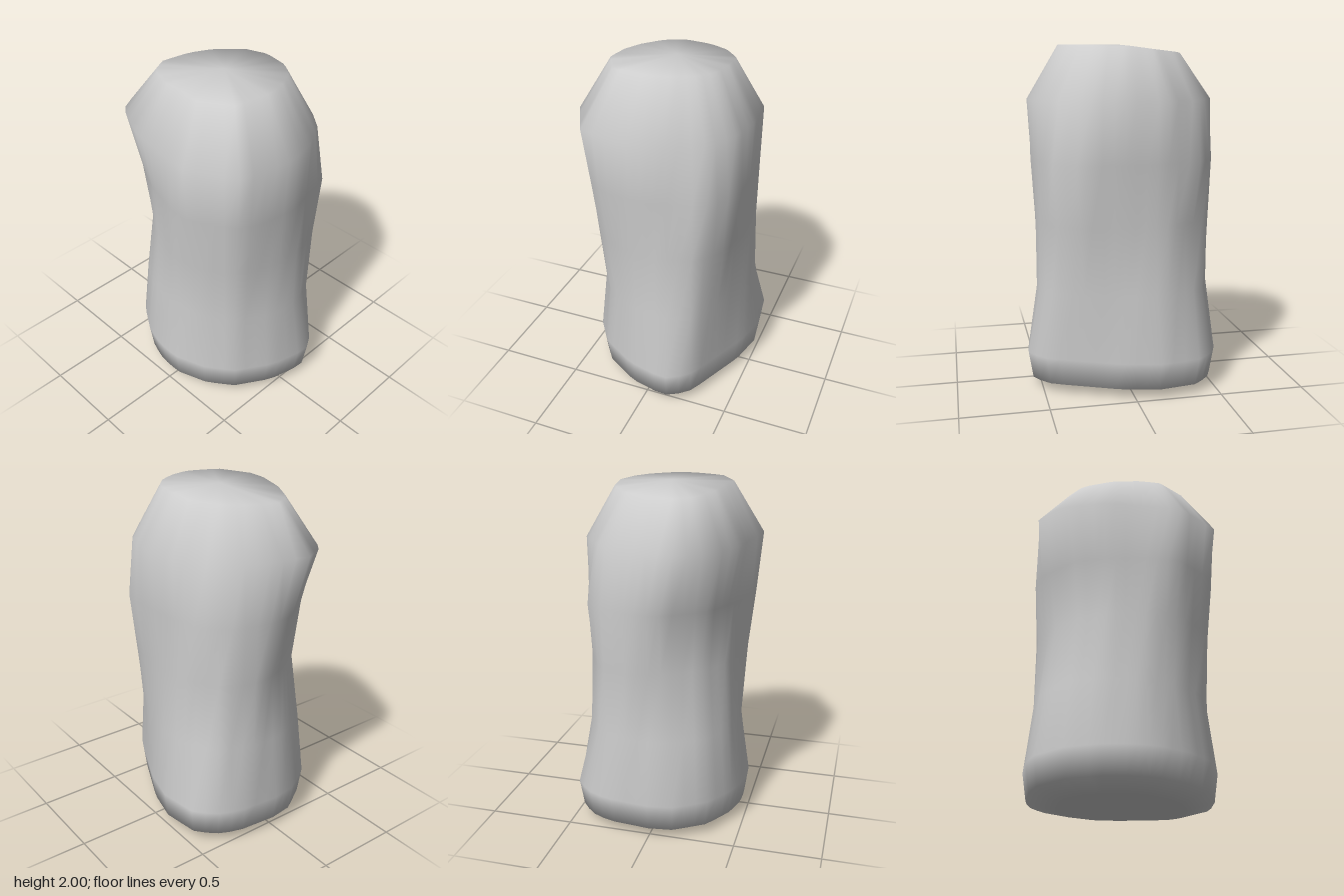
import * as THREE from 'three';

const SIDES = 48;

// Distance from the axis to a closed outline [x, z, x, z, ...] along a given angle
function reach(outline, angle) {
  const dx = Math.cos(angle), dz = Math.sin(angle), n = outline.length;
  let best = 0;
  for (let i = 0; i < n; i += 2) {
    const ax = outline[i], az = outline[i + 1];
    const ex = outline[(i + 2) % n] - ax, ez = outline[(i + 3) % n] - az;
    const det = ex * dz - ez * dx;
    if (Math.abs(det) < 1e-9) continue;
    const along = (az * dx - ax * dz) / det;
    const r = (ax + along * ex) * dx + (az + along * ez) * dz;
    if (along >= -1e-6 && along <= 1 + 1e-6) best = Math.max(best, r);
  }
  return best;
}

// One ring of points; height is a rule of x and z, scale shrinks the outline
function ring(outline, height, scale = 1) {
  return Array.from({ length: SIDES }, (_, i) => {
    const a = (i / SIDES) * Math.PI * 2;
    const r = reach(outline, a) * scale;
    const x = r * Math.cos(a), z = r * Math.sin(a);
    return [x, height(x, z), z];
  });
}

// Skin stacked rings (bottom to top) and close both ends with a fan
function loft(rings, bottomY, topY) {
  const position = [], index = [];
  rings.forEach(points => points.forEach(p => position.push(...p)));
  const bottom = rings.length * SIDES, top = bottom + 1;
  position.push(0, bottomY, 0, 0, topY, 0);
  for (let i = 0; i < SIDES; i++) {
    const j = (i + 1) % SIDES;
    for (let k = 0; k < rings.length - 1; k++) {
      const a = k * SIDES + i, b = k * SIDES + j;
      index.push(a, a + SIDES, b, b, a + SIDES, b + SIDES);
    }
    const last = (rings.length - 1) * SIDES;
    index.push(bottom, i, j, top, last + j, last + i);
  }
  const geometry = new THREE.BufferGeometry();
  geometry.setAttribute('position', new THREE.Float32BufferAttribute(position, 3));
  geometry.setIndex(index);
  geometry.computeVertexNormals();
  return geometry;
}

export function createModel() {
  // Outlines of the weathered block, twisting slightly from foot to shoulder
  const foot = [0.58, -0.1, 0.53, 0.1, 0.4, 0.31, 0.25, 0.42, 0.05, 0.49, -0.1, 0.485,
    -0.24, 0.445, -0.42, 0.335, -0.54, 0.15, -0.56, 0, -0.535, -0.26, -0.475, -0.39,
    -0.375, -0.48, -0.14, -0.515, 0.08, -0.465, 0.48, -0.29, 0.58, -0.18];
  const lower = [0.52, -0.1, 0.49, 0.08, 0.38, 0.28, 0.2, 0.4, -0.02, 0.44, -0.24, 0.4,
    -0.41, 0.29, -0.51, 0.08, -0.515, -0.12, -0.43, -0.325, -0.22, -0.45, -0.05, -0.46,
    0.2, -0.4, 0.44, -0.29];
  const waist = [0.515, -0.08, 0.5, 0.1, 0.42, 0.3, 0.22, 0.43, 0.05, 0.455, -0.2, 0.38,
    -0.35, 0.27, -0.46, 0.1, -0.52, -0.1, -0.46, -0.3, -0.2, -0.44, 0.05, -0.445,
    0.28, -0.41, 0.45, -0.305];
  const chest = [0.53, 0, 0.5, 0.2, 0.45, 0.33, 0.2, 0.475, 0.05, 0.47, -0.18, 0.4,
    -0.38, 0.3, -0.53, 0.08, -0.55, -0.05, -0.49, -0.26, -0.38, -0.39, -0.15, -0.455,
    0.05, -0.46, 0.27, -0.455, 0.455, -0.335];
  const shoulder = [0.545, 0.04, 0.48, 0.36, 0.2, 0.51, 0.05, 0.485, -0.24, 0.44,
    -0.49, 0.32, -0.585, 0.16, -0.53, -0.1, -0.42, -0.29, -0.2, -0.45, 0.05, -0.468,
    0.27, -0.42, 0.41, -0.305, 0.5, -0.14];

  const level = y => () => y;
  const geometry = loft([
    ring(foot, x => 0.007 - 0.014 * x, 0.65),
    ring(foot, level(0.06), 0.955),
    ring(foot, level(0.22)),
    ring(lower, level(0.6)),
    ring(waist, level(1)),
    ring(chest, level(1.35)),
    ring(shoulder, level(1.69)),
    // Top edge dips toward the model's right
    ring(shoulder, (x, z) => 2 + 0.13 * Math.min(x, 0) - 0.12 * z * z, 0.66),
  ], 0.02, 2);

  const stone = new THREE.Mesh(geometry, new THREE.MeshStandardMaterial({ color: 0xcccccc }));
  stone.name = 'stoneBlock';
  const group = new THREE.Group();
  group.name = 'standingStone';
  group.add(stone);
  return group;
}
